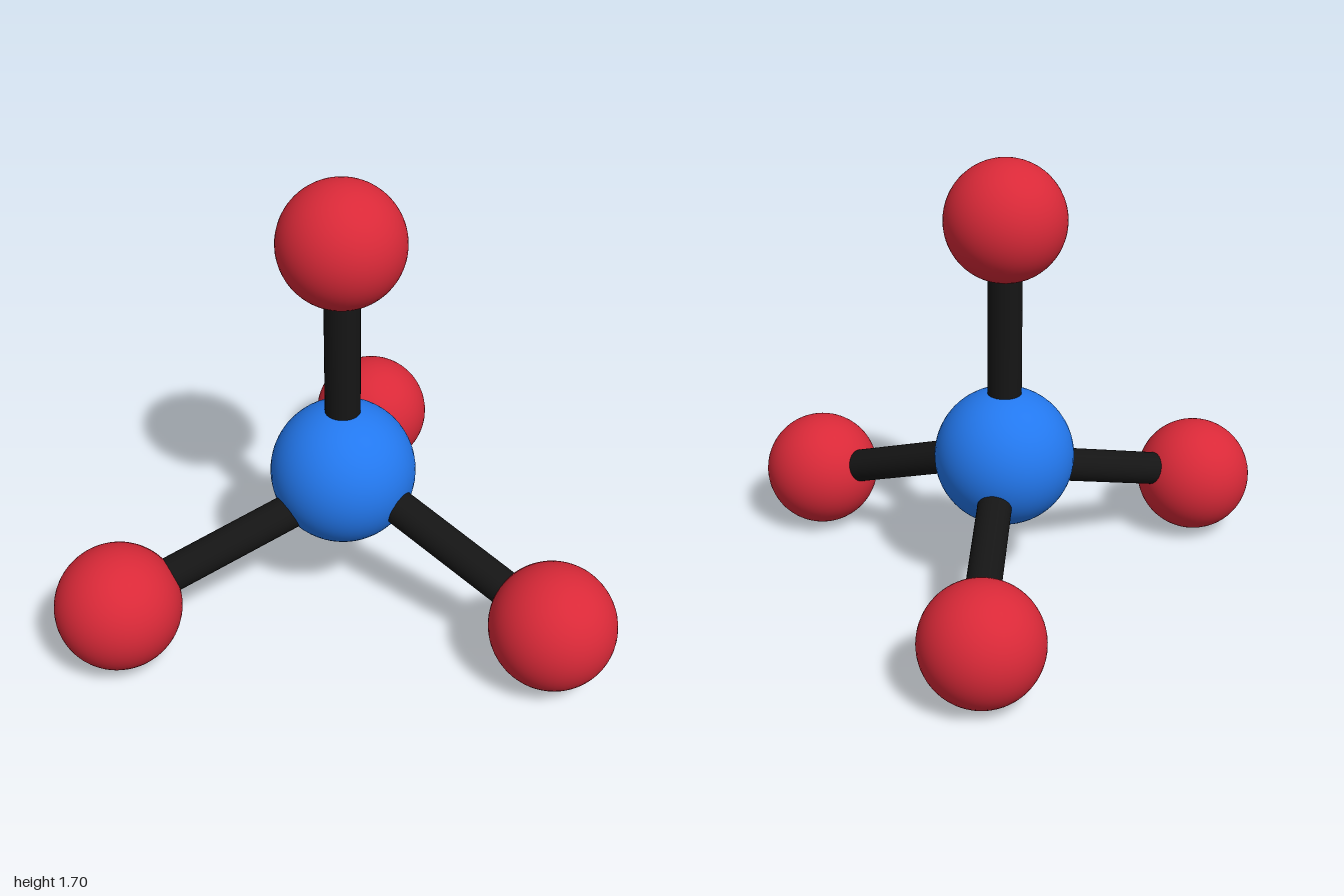
import * as THREE from 'three';

const mat = (color) => new THREE.MeshStandardMaterial({ color });

export function createModel() {
  const model = new THREE.Group();
  model.name = 'moleculeModel';
  const blue = mat(0x2378ee), red = mat(0xd92938), black = mat(0x151515);

  function ball(name, pos, radius, material) {
    const m = new THREE.Mesh(new THREE.SphereGeometry(radius, 48, 32), material);
    m.name = name;
    m.position.set(...pos);
    model.add(m);
  }

  // Rod running between two points, its ends buried in the balls
  function rod(name, from, to) {
    const a = new THREE.Vector3(...from), b = new THREE.Vector3(...to);
    const dir = b.clone().sub(a);
    const m = new THREE.Mesh(new THREE.CylinderGeometry(0.065, 0.065, dir.length(), 32), black);
    m.name = name;
    m.position.copy(a).lerp(b, 0.5);
    m.quaternion.setFromUnitVectors(new THREE.Vector3(0, 1, 0), dir.normalize());
    model.add(m);
  }

  // Central ball
  ball('centreBall', [-0.037, 0.54, 0.164], 0.268, blue);

  // Four outer balls, each with a slightly hand-placed rod
  const arms = [
    { name: 'top', ball: [-0.038, 1.478, 0.164], from: [-0.037, 0.54, 0.164], to: [-0.037, 1.45, 0.164] },
    { name: 'left', ball: [0.769, 0.24, 0.583], from: [-0.037, 0.56, 0.163], to: [0.73, 0.25, 0.553] },
    { name: 'right', ball: [-0.773, 0.242, 0.69], from: [-0.037, 0.497, 0.193], to: [-0.73, 0.27, 0.661] },
    { name: 'back', ball: [-0.045, 0.232, -0.697], from: [-0.024, 0.508, 0.164], to: [-0.024, 0.245, -0.66] },
  ];
  for (const arm of arms) {
    ball(arm.name + 'Ball', arm.ball, 0.228, red);
    rod(arm.name + 'Rod', arm.from, arm.to);
  }
  return model;
}
